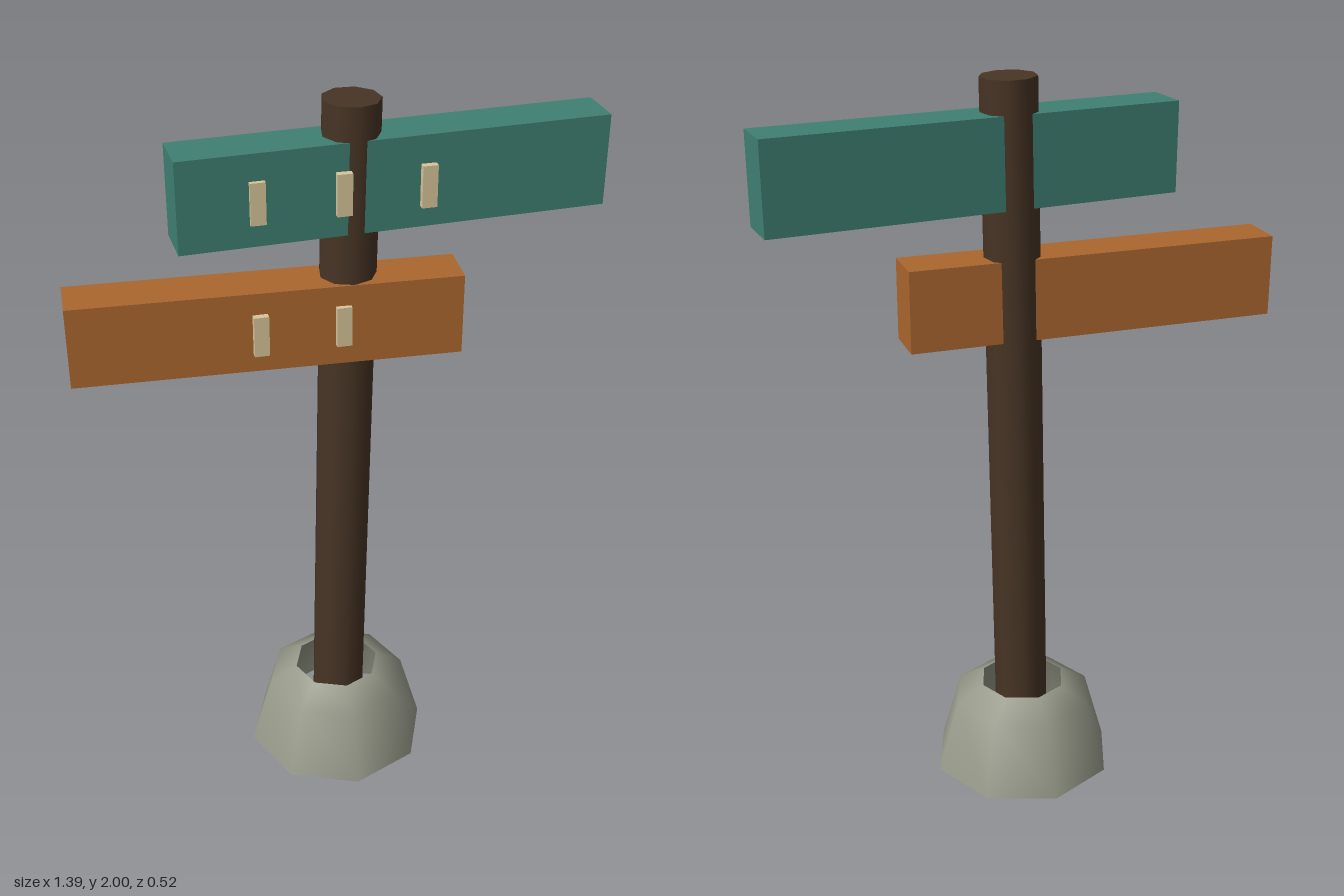
import * as THREE from 'three';

function material(name, color, side = THREE.FrontSide) {
  const m = new THREE.MeshStandardMaterial({ color, side });
  m.name = name;
  return m;
}

export function createModel() {
  const group = new THREE.Group();
  const wood = material('darkWood', 0x483525);
  const teal = material('tealPaint', 0x3f8073);
  const orange = material('orangePaint', 0xac672e);
  const stone = material('greyStone', 0x989b8b, THREE.DoubleSide);
  const cream = material('creamPaint', 0xd8c69a);

  function add(name, geometry, mat, x, y, z) {
    const mesh = new THREE.Mesh(geometry, mat);
    mesh.name = name;
    mesh.position.set(x, y, z);
    group.add(mesh);
    return mesh;
  }

  // Open, eight-sided stone collar
  const profile = [[0.26, 0], [0.2, 0.21], [0.122, 0.255]].map(([r, y]) => new THREE.Vector2(r, y));
  add('stoneBase', new THREE.LatheGeometry(profile, 8), stone, 0, 0, 0);

  // Slightly leaning nine-sided post
  add('post', new THREE.CylinderGeometry(0.075, 0.075, 1.997, 9), wood, 0.019, 1, 0).rotation.z = -0.0185;

  // Direction boards, each turned a little about the post
  add('upperBoard', new THREE.BoxGeometry(1.109, 0.24, 0.127), teal, 0.139, 1.79, 0).rotation.y = 0.035;
  add('lowerBoard', new THREE.BoxGeometry(1.013, 0.22, 0.131), orange, -0.188, 1.425, -0.001).rotation.y = -0.058;

  // Small upright marks on the board fronts
  const mark = new THREE.BoxGeometry(0.039, 0.11, 0.018);
  for (const [x, y] of [[-0.215, 1.785], [0, 1.785], [0.215, 1.785], [-0.215, 1.425], [0, 1.425]]) {
    add('boardMark', mark, cream, x, y, 0.079);
  }
  return group;
}
